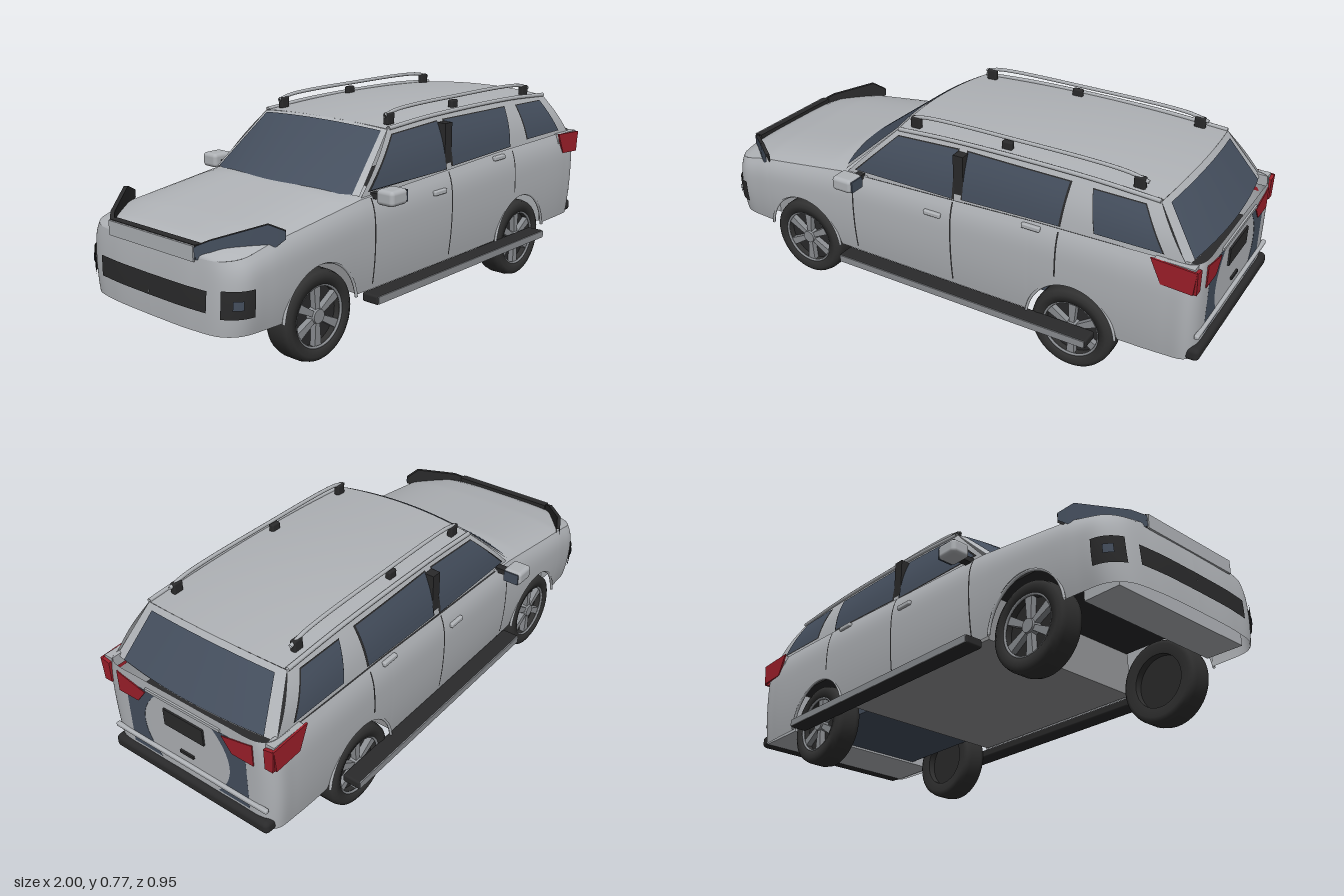
import * as THREE from 'three';
import { RoundedBoxGeometry } from 'three/addons/geometries/RoundedBoxGeometry.js';

const mat = (name, color) => Object.assign(new THREE.MeshStandardMaterial({ color, side: THREE.DoubleSide }), { name });
const V = (x, y, z) => new THREE.Vector3(x, y, z);
const lerp = THREE.MathUtils.lerp;

// Piecewise-linear lookup through [x, y] pairs
const table = (pts) => (x) => {
  if (x <= pts[0][0]) return pts[0][1];
  for (let i = 1; i < pts.length; i++) {
    const [a, b] = [pts[i - 1], pts[i]];
    if (x <= b[0]) return lerp(a[1], b[1], (x - a[0]) / (b[0] - a[0]));
  }
  return pts[pts.length - 1][1];
};

// Surface from a rule f(u, v) -> Vector3
function sheet(nu, nv, f) {
  const pos = [], idx = [];
  for (let i = 0; i <= nu; i++) for (let j = 0; j <= nv; j++) pos.push(...f(i / nu, j / nv).toArray());
  for (let i = 0; i < nu; i++) for (let j = 0; j < nv; j++) {
    const a = i * (nv + 1) + j, b = a + nv + 1;
    idx.push(a, b, b + 1, a, b + 1, a + 1);
  }
  const g = new THREE.BufferGeometry();
  g.setAttribute('position', new THREE.Float32BufferAttribute(pos, 3));
  g.setIndex(idx);
  g.computeVertexNormals();
  return g;
}

// Copy reflected across z = 0, with its winding kept outward
function mirrored(geo) {
  const g = geo.index ? geo.toNonIndexed() : geo.clone();
  for (const a of Object.values(g.attributes)) for (let i = 0; i < a.count; i += 3) for (let k = 0; k < a.itemSize; k++) {
    const t = a.getComponent(i + 1, k);
    a.setComponent(i + 1, k, a.getComponent(i + 2, k));
    a.setComponent(i + 2, k, t);
  }
  return g.scale(1, 1, -1);
}

const box = (x0, x1, y0, y1, z0, z1, r = 0) => {
  const s = [x1 - x0, y1 - y0, z1 - z0];
  const g = r ? new RoundedBoxGeometry(...s, 3, r) : new THREE.BoxGeometry(...s);
  return g.translate((x0 + x1) / 2, (y0 + y1) / 2, (z0 + z1) / 2);
};
const tube = (pts, r) => new THREE.TubeGeometry(new THREE.CatmullRomCurve3(pts.map((p) => V(...p))), 40, r, 8);

// Body rules: plan outline of one half, shoulder height, wheel-arch cut and section
const plan = new THREE.CatmullRomCurve3([[-1, 0], [-0.995, 0.2], [-0.975, 0.32], [-0.93, 0.368], [-0.83, 0.383], [-0.4, 0.385],
  [0.4, 0.385], [0.88, 0.38], [0.95, 0.37], [0.975, 0.335], [0.98, 0.2], [0.98, 0]].map(([x, z]) => V(x, 0, z)), false, 'centripetal');
plan.arcLengthDivisions = 600;
const wheelX = [-0.61, 0.55], wheelR = 0.155, archW = 0.17, archH = 0.183;
const belt = table([[-1, 0.41], [-0.9, 0.425], [-0.8, 0.45], [-0.4, 0.502], [0, 0.517], [0.4, 0.533], [0.97, 0.543]]);
const hood = table([[-1, 0.425], [-0.93, 0.452], [-0.8, 0.478], [-0.48, 0.527], [-0.3, 0.53]]);
const lower = (x) => wheelX.reduce((y, c) => {
  const d = (x - c) / archW;
  return Math.abs(d) < 1 ? Math.max(y, wheelR + archH * Math.sqrt(1 - d * d)) : y;
}, 0.18);
const section = (h) => (h < 0.6 ? 1 - 0.045 * (1 - h / 0.6) ** 2 : 1 - 0.06 * ((h - 0.6) / 0.4) ** 3);
function bodyPoint(u, y, off = 0) {
  const p = plan.getPointAt(u), t = plan.getTangentAt(u);
  const h = (y - 0.18) / (belt(p.x) - 0.18);
  const lean = 0.015 * h * h * Math.max(0, (-p.x - 0.9) / 0.1);
  return V(p.x + lean - t.z * off, y, p.z * section(h) + t.x * off);
}
const sideZ = (x, y) => 0.385 * section((y - 0.18) / (belt(x) - 0.18));

// Cabin rules
const roofRise = (x) => 0.018 * Math.sin(Math.PI * THREE.MathUtils.clamp((x + 0.215) / 1.045, 0, 1));
const cabinZ = (v) => lerp(0.355, 0.3, v) + 0.01 * Math.sin(Math.PI * v);
const cabinZAt = (x, y) => cabinZ((y - belt(x)) / (0.7 + roofRise(x) - belt(x)));

export function createModel() {
  const car = new THREE.Group();
  car.name = 'car';
  const paint = mat('silver paint', 0xb0b3b7), glass = mat('tinted glass', 0x454f5e), black = mat('black trim', 0x2a2a2b),
    rubber = mat('tyre rubber', 0x303030), red = mat('red lamp', 0x9e1f2a), alloy = mat('alloy', 0x8b8e92), under = mat('underbody', 0x949597);
  const add = (name, geo, m) => {
    const mesh = new THREE.Mesh(geo, m);
    mesh.name = name;
    car.add(mesh);
  };
  const pair = (name, geo, m) => { add(name + 'Front', geo, m); add(name + 'Back', mirrored(geo), m); };

  // Lower body and bonnet
  pair('bodySide', sheet(240, 14, (u, v) => {
    const x = plan.getPointAt(u).x;
    return bodyPoint(u, lerp(lower(x), belt(x), v));
  }), paint);
  add('bonnet', sheet(60, 24, (a, b) => {
    const e = plan.getPointAt(a * 0.385), p = bodyPoint(a * 0.385, belt(e.x)), t = b * 2 - 1;
    return V(p.x, lerp(belt(e.x), hood(e.x), 1 - t ** 4), p.z * t);
  }), paint);
  wheelX.forEach((x) => pair('archLip', new THREE.TorusGeometry(1, 0.03, 6, 40, Math.PI * 0.92)
    .rotateZ(Math.PI * 0.04).scale(archW, archH, 0.2).translate(x, wheelR, 0.376), paint));

  // Cabin shell: sides, roof, windscreen and rear window
  pair('cabinSide', sheet(50, 12, (u, v) => {
    const x = lerp(lerp(-0.4, -0.195, v), lerp(0.93, 0.81, v), u);
    return V(x, lerp(belt(x) - 0.004, 0.7 + roofRise(x), v), cabinZ(v));
  }), paint);
  add('roof', sheet(40, 24, (u, v) => {
    const t = v * 2 - 1, x = lerp(-0.215 + 0.02 * t * t, 0.83 - 0.02 * t * t, u);
    return V(x, 0.715 - 0.015 * t * t + roofRise(x), 0.3 * t);
  }), paint);
  const screen = (name, bottomX, topX, bottomY, bow, w, v0, v1) => {
    const at = (t, v, off) => V(lerp(bottomX - bow * t * t, topX - Math.sign(bow) * 0.02 * t * t, v) + off,
      lerp(bottomY, 0.715 - 0.015 * t * t, v), t * lerp(0.354, 0.3, v));
    add(name + 'Frame', sheet(24, 8, (u, v) => at(u * 2 - 1, v, 0)), paint);
    add(name + 'Glass', sheet(24, 8, (u, v) => at((u * 2 - 1) * w, lerp(v0, v1, v), Math.sign(bow) * 0.006)), glass);
  };
  screen('windscreen', -0.49, -0.215, 0.512, -0.09, 0.94, 0.02, 0.97);
  screen('rearWindow', 0.96, 0.83, 0.53, 0.03, 0.88, 0.03, 0.92);

  // Side windows: [bottom front, bottom rear, top rear, top front]
  [[[-0.35, 0.522], [0.068, 0.524], [0.068, 0.694], [-0.185, 0.682]],
    [[0.11, 0.53], [0.485, 0.542], [0.5, 0.692], [0.11, 0.695]],
    [[0.615, 0.553], [0.85, 0.555], [0.765, 0.685], [0.585, 0.688]]].forEach((q) => {
    const pane = (grow, off) => sheet(8, 8, (u, v) => {
      const [a, b] = [u * (1 + 2 * grow) - grow, v * (1 + 2 * grow) - grow];
      const x = lerp(lerp(q[0][0], q[1][0], a), lerp(q[3][0], q[2][0], a), b);
      const y = lerp(lerp(q[0][1], q[1][1], a), lerp(q[3][1], q[2][1], a), b);
      return V(x, y, cabinZAt(x, y) + off);
    });
    pair('windowSeal', pane(0.018, 0.003), black);
    pair('sideWindow', pane(0, 0.006), glass);
  });
  pair('doorPillar', box(0.07, 0.11, 0.495, 0.69, 0.315, 0.352), black);

  // Door seams and handles
  [[-0.355, 0.2, 0.5], [0.075, 0.2, 0.515], [0.49, 0.36, 0.525]].forEach(([x, y0, y1]) =>
    pair('doorSeam', sheet(1, 12, (u, v) => {
      const y = lerp(y0, y1, v);
      return V(x + (u - 0.5) * 0.006, y, sideZ(x, y) + 0.002);
    }), black));
  [[0, 0.455], [0.39, 0.515]].forEach(([x, y]) =>
    pair('doorHandle', box(x - 0.035, x + 0.035, y - 0.009, y + 0.009, sideZ(x, y) - 0.005, sideZ(x, y) + 0.012, 0.005), paint));

  // Mirrors
  pair('mirrorArm', box(-0.345, -0.315, 0.495, 0.515, 0.345, 0.41), black);
  pair('mirrorShell', box(-0.375, -0.29, 0.486, 0.54, 0.4, 0.474, 0.015), paint);
  pair('mirrorGlass', box(-0.291, -0.286, 0.492, 0.534, 0.407, 0.467), glass);

  // Roof rails and their feet
  pair('roofRail', tube([[-0.165, 0.738, 0.262], [-0.11, 0.752, 0.262], [0.26, 0.76, 0.262], [0.68, 0.752, 0.262], [0.75, 0.735, 0.262]], 0.007), paint);
  [-0.14, 0.235, 0.72].forEach((x) => pair('railFoot', box(x - 0.02, x + 0.02, 0.705, 0.748, 0.25, 0.272, 0.006), black));
  pair('roofGutter', tube([[-0.19, 0.703, 0.3], [0.05, 0.716, 0.302], [0.55, 0.717, 0.302], [0.81, 0.703, 0.3]], 0.008), paint);

  // Nose: grille, fog lamps, headlamps with dark backs, and bonnet lip
  const patch = (u0, u1, y0, y1, off) => sheet(12, 6, (u, v) => bodyPoint(lerp(u0, u1, u), lerp(y0, y1, v), off));
  pair('grille', patch(0, 0.1, 0.25, 0.32, 0.004), black);
  pair('fogSurround', patch(0.12, 0.16, 0.24, 0.33, 0.006), black);
  pair('fogLamp', patch(0.134, 0.146, 0.27, 0.3, 0.01), glass);
  const lampRows = [[-0.988, 0.21, 0.405, 0.445], [-0.955, 0.25, 0.41, 0.466], [-0.82, 0.36, 0.42, 0.508], [-0.772, 0.386, 0.455, 0.482]];
  const lampAt = (u, v, inset) => {
    const [x, z, y0, y1] = lampRows[Math.round(u * 3)];
    return V(x + inset, lerp(y0, y1, v), z - inset);
  };
  pair('headlamp', sheet(3, 2, (u, v) => lampAt(u, v, 0)), glass);
  pair('headlampBack', sheet(3, 2, (u, v) => lampAt(u, v, 0.01)), black);
  pair('headlampEdge', sheet(3, 1, (u, v) => lampAt(u, 1, v * 0.01)), black);
  add('bonnetLip', box(-0.984, -0.956, 0.405, 0.452, -0.215, 0.215), black);
  add('nosePanel', box(-0.991, -0.984, 0.4, 0.45, -0.212, 0.212), paint);

  // Tail: lamps, tailgate panels, plate, bar and bumper
  const plate = (pts, d) => new THREE.ExtrudeGeometry(Array.isArray(pts) ? new THREE.Shape(pts.map((p) => new THREE.Vector2(...p))) : pts,
    { depth: d, bevelEnabled: false, curveSegments: 16 });
  const rear = (pts, x, d) => plate(pts, d).rotateY(Math.PI / 2).translate(x, 0, 0);
  pair('tailLampSide', plate([[0.86, 0.458], [0.968, 0.452], [0.975, 0.535], [0.82, 0.543]], 0.007).translate(0, 0, 0.375), red);
  pair('tailLampCorner', rear([[0.342, 0.45], [0.374, 0.45], [0.382, 0.535], [0.342, 0.528]], 0.966, 0.012), red);
  pair('tailLampInner', rear([[0.21, 0.44], [0.3, 0.44], [0.3, 0.521], [0.17, 0.492]], 0.976, 0.008), red);
  pair('tailLampShoulder', box(0.83, 0.965, 0.5, 0.541, 0.34, 0.375), paint);
  const panel = new THREE.Shape();
  panel.moveTo(0.13, 0.237);
  panel.lineTo(0.265, 0.237);
  panel.lineTo(0.265, 0.5);
  panel.lineTo(0.125, 0.5);
  panel.quadraticCurveTo(0.255, 0.37, 0.13, 0.237);
  pair('tailgatePanel', rear(panel, 0.974, 0.007), glass);
  add('licencePlate', box(0.978, 0.987, 0.405, 0.47, -0.088, 0.088), black);
  add('tailgateHandle', box(0.978, 0.987, 0.315, 0.326, -0.03, 0.03), black);
  add('tailgateTrim', box(0.975, 0.987, 0.504, 0.515, -0.165, 0.165), paint);
  add('rearBar', box(0.975, 0.992, 0.264, 0.281, -0.345, 0.345, 0.006), paint);
  add('rearBumper', box(0.945, 1, 0.178, 0.228, -0.35, 0.35, 0.018), black);

  // Running boards and underbody
  pair('runningBoard', box(-0.4, 0.64, 0.148, 0.181, 0.365, 0.434, 0.008), black);
  pair('boardEdge', box(-0.395, 0.635, 0.152, 0.178, 0.43, 0.437), alloy);
  add('upperFloor', box(-0.86, 0.95, 0.345, 0.355, -0.35, 0.35), black);
  add('floor', box(-0.42, 0.36, 0.178, 0.345, -0.355, 0.355), under);
  add('rearTray', box(0.36, 0.74, 0.19, 0.23, -0.255, 0.255), glass);
  add('rearFloor', box(0.74, 0.95, 0.182, 0.345, -0.35, 0.35), paint);
  add('noseFloor', box(-0.94, -0.8, 0.185, 0.345, -0.31, 0.31), paint);

  // Wheels with tapered spokes
  const tyre = new THREE.LatheGeometry([[0.1, -0.045], [0.135, -0.052], [0.15, -0.044], [0.155, -0.025], [0.155, 0.025], [0.15, 0.044],
    [0.135, 0.052], [0.108, 0.048], [0.104, 0.02], [0.1, -0.045]].map(([r, y]) => new THREE.Vector2(r, y)), 40).rotateX(Math.PI / 2);
  const at = (g, x) => g.translate(x, wheelR, 0.322);
  wheelX.forEach((x) => {
    pair('tyre', at(tyre.clone(), x), rubber);
    pair('wheelDisc', at(new THREE.CylinderGeometry(0.103, 0.103, 0.03, 32).rotateX(Math.PI / 2), x), black);
    pair('rimRing', at(new THREE.TorusGeometry(0.105, 0.005, 6, 40).translate(0, 0, 0.042), x), alloy);
    pair('hub', at(new THREE.CylinderGeometry(0.024, 0.03, 0.03, 20).rotateX(Math.PI / 2).translate(0, 0, 0.03), x), alloy);
    for (let i = 0; i < 6; i++) {
      const spoke = plate([[-0.009, 0.015], [0.009, 0.015], [0.015, 0.104], [-0.015, 0.104]], 0.022);
      pair('spoke', at(spoke.translate(0, 0, 0.016).rotateZ((i * Math.PI) / 3), x), alloy);
    }
  });
  return car;
}
